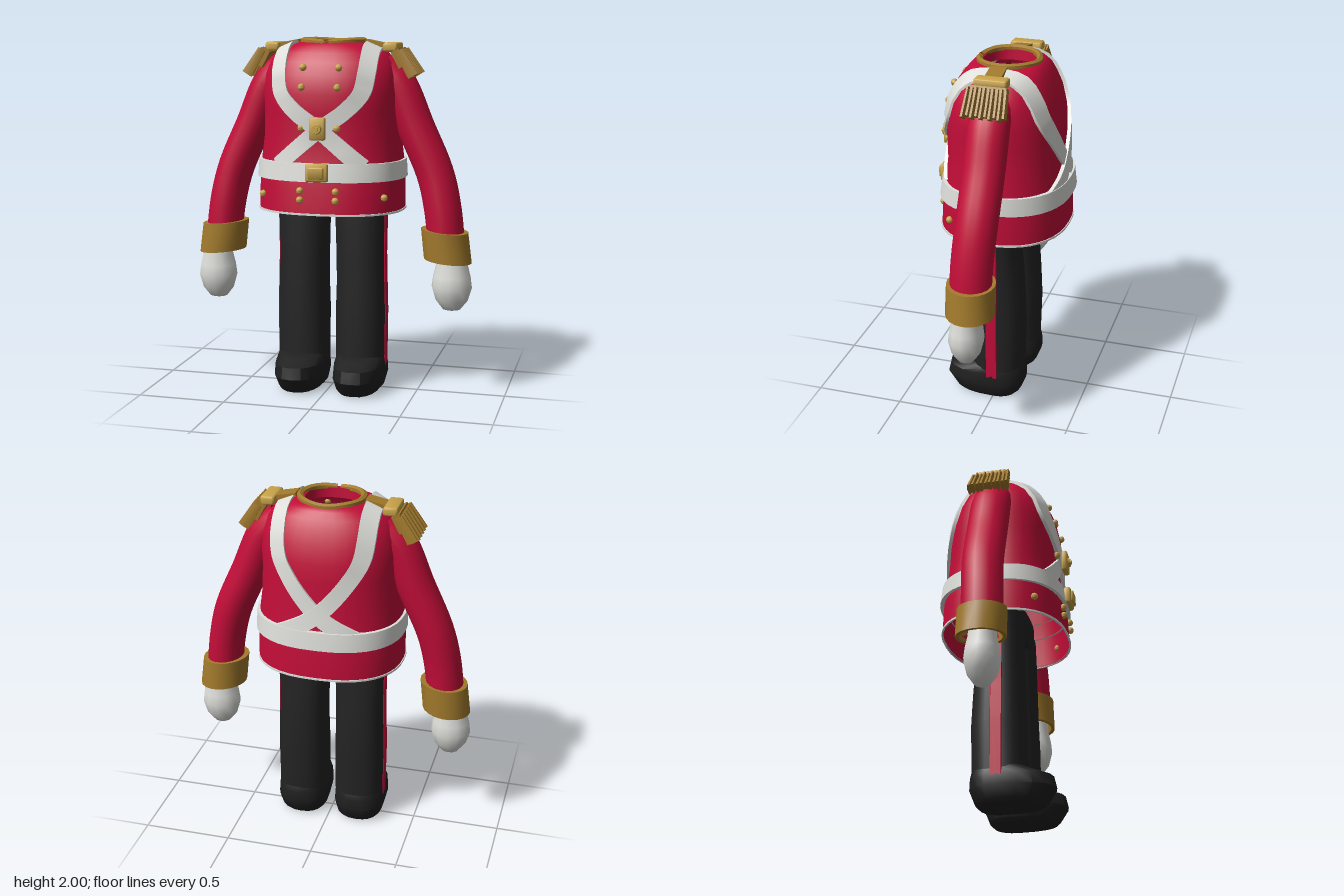
import * as THREE from 'three';
import { mergeVertices, toCreasedNormals } from 'three/addons/utils/BufferGeometryUtils.js';
import { RoundedBoxGeometry } from 'three/addons/geometries/RoundedBoxGeometry.js';

const mat = (name, color, side = THREE.FrontSide) =>
  new THREE.MeshStandardMaterial({ name, color, side });

// Grid of vertices: each row is a closed loop of [x, y, z], rows are joined in order
function skin(rows) {
  const n = rows[0].length, idx = [];
  for (let i = 0; i < rows.length - 1; i++) {
    for (let j = 0; j < n; j++) {
      const a = i * n + j, b = i * n + (j + 1) % n;
      idx.push(a, a + n, b, b, a + n, b + n);
    }
  }
  const g = new THREE.BufferGeometry();
  g.setAttribute('position', new THREE.Float32BufferAttribute(rows.flat(2), 3));
  g.setIndex(idx);
  return g;
}

// Loft of rounded sections, each [y, centre x, half width, back depth, front depth]
function loft(sections, seg = 24, n = 2.4) {
  const pw = v => Math.sign(v) * Math.abs(v) ** (2 / n);
  return skin(sections.map(([y, cx, rx, zb, zf]) =>
    Array.from({ length: seg }, (_, j) => {
      const t = j / seg * Math.PI * 2, c = pw(Math.cos(t)), s = pw(Math.sin(t));
      return [cx + rx * c, y, s * (s > 0 ? zf : zb)];
    })));
}

// Jacket body sections: [y, half width, back depth, front depth]
const BODY = [
  [1.05, .41, .365, .345], [1.2, .408, .36, .335], [1.33, .4, .345, .315], [1.45, .385, .332, .302],
  [1.6, .38, .325, .308], [1.7, .385, .315, .305], [1.8, .375, .29, .285], [1.87, .35, .26, .25],
  [1.92, .31, .235, .215], [1.955, .25, .21, .185], [1.975, .18, .185, .155],
];
const EXP = 2.4;

function insideBody(x, y, z) {
  const i = BODY.findIndex(r => r[0] >= y);
  if (i < 0) return false;
  const b = BODY[i], a = BODY[Math.max(i - 1, 0)];
  const t = b === a ? 0 : (y - a[0]) / (b[0] - a[0]);
  const [rx, zb, zf] = [1, 2, 3].map(k => a[k] + (b[k] - a[k]) * t);
  return (Math.abs(x) / rx) ** EXP + (Math.abs(z) / (z > 0 ? zf : zb)) ** EXP < 1;
}

// Point on the jacket, seen from (x, y, 0) at angle a: 0 is front, PI/2 up, PI back
function onBody(x, y, a, off) {
  const dy = Math.sin(a), dz = Math.cos(a);
  let lo = 0, hi = .6;
  for (let k = 0; k < 24; k++) {
    const m = (lo + hi) / 2;
    if (insideBody(x, y + dy * m, dz * m)) lo = m; else hi = m;
  }
  return [x, y + dy * (lo + off), dz * (lo + off)];
}

// u runs up the front, over the shoulder and down the back
const Y0 = 1.65, ARC = .94;
function wrap(x, u, off) {
  if (u < Y0) return onBody(x, u, 0, off);
  if (u > Y0 + ARC) return onBody(x, Y0 - (u - Y0 - ARC), Math.PI, off);
  return onBody(x, Y0, (u - Y0) / ARC * Math.PI, off);
}

function strap(s, lift) {
  const pts = [[-.24, 1.31], [0, 1.51], [.14, 1.61], [.22, 1.7], [.245, 1.82], [.245, 2.12],
    [.23, 2.5], [.17, 2.62], [0, 2.82], [-.23, 2.96]];
  const curve = new THREE.CatmullRomCurve3(pts.map(([x, u]) => new THREE.Vector3(x * s, u, 0)));
  const rows = [];
  for (let i = 0; i <= 70; i++) {
    const p = curve.getPoint(i / 70), d = curve.getTangent(i / 70), w = .044;
    const l = [p.x - d.y * w, p.y + d.x * w], r = [p.x + d.y * w, p.y - d.x * w];
    rows.push([wrap(...r, -.02), wrap(...l, -.02), wrap(...l, lift), wrap(...r, lift)]);
  }
  return skin(rows);
}

// Mirror image across x, with the corner order turned round
function mirrored(geo) {
  const g = mergeVertices(geo).scale(-1, 1, 1), ix = g.index.array;
  for (let i = 0; i < ix.length; i += 3) [ix[i], ix[i + 1]] = [ix[i + 1], ix[i]];
  return g;
}

export function createModel() {
  const red = mat('red cloth', 0xc20d38, THREE.DoubleSide);
  const white = mat('white leather', 0xdededa, THREE.DoubleSide);
  const black = mat('black cloth', 0x232323);
  const shoeBlack = mat('shoe black', 0x1f1f1f);
  const gold = mat('light gold', 0xc9a44a);
  const darkGold = mat('dark gold', 0xa27a2c, THREE.DoubleSide);

  const model = new THREE.Group();
  model.name = 'uniform';
  const add = (name, geo, material, crease = .7) => {
    const g = geo.clone();
    g.deleteAttribute('uv');
    const mesh = new THREE.Mesh(toCreasedNormals(g, crease), material);
    mesh.name = name;
    model.add(mesh);
  };
  const both = (name, geo, material, crease) => {
    add(name + 'Left', geo, material, crease);
    add(name + 'Right', mirrored(geo), material, crease);
  };

  // Jacket with an open neck and hem
  const body = BODY.map(([y, ...r]) => [y, 0, ...r]);
  add('jacket', loft([...body, [1.975, 0, .145, .165, .125], [1.92, 0, .142, .16, .122]], 40, EXP), red, 1.2);
  add('hemTrim', loft([[1.045, 0, .405, .36, .34], [1.045, 0, .415, .37, .35],
    [1.056, 0, .415, .37, .35], [1.056, 0, .405, .36, .34]], 40), white);
  add('belt', loft([[1.23, 0, .395, .35, .32], [1.23, 0, .42, .382, .352],
    [1.33, 0, .414, .37, .337], [1.33, 0, .39, .34, .31]], 40), white);

  // Crossed straps
  add('strapLeft', strap(1, .014), white);
  add('strapRight', strap(-1, .02), white);

  // Collar braid with a gap at the front
  const ring = Array.from({ length: 25 }, (_, i) => {
    const a = .07 + i / 24 * (Math.PI * 2 - .14);
    return new THREE.Vector3(Math.sin(a) * .172, 1.981 - .008 * Math.cos(a) ** 8, -.016 + Math.cos(a) * .162);
  });
  add('collarBraid', new THREE.TubeGeometry(new THREE.CatmullRomCurve3(ring), 48, .019, 6), darkGold);

  // Buttons
  for (const [x, y] of [[.1, 1.845], [.1, 1.74], [.1, 1.52], [.1, 1.18], [.1, 1.13], [.345, 1.14]]) {
    const p = onBody(x, y, 0, .008);
    both('button', new THREE.SphereGeometry(.02, 10, 8).translate(...p), gold, 1.2);
  }

  // Belt buckle and strap plate
  add('buckle', new RoundedBoxGeometry(.125, .1, .04, 2, .012).translate(0, 1.283, .355), gold);
  add('bucklePlate', new RoundedBoxGeometry(.09, .065, .02, 2, .008).translate(0, 1.283, .379), gold);
  add('crossPlate', new RoundedBoxGeometry(.09, .125, .035, 2, .012).translate(0, 1.52, .34), gold);
  for (const [r, z] of [[.03, .361], [.015, .369]]) {
    add('crossPlateBoss', new THREE.CylinderGeometry(r * .8, r, .018, 14).rotateX(Math.PI / 2).translate(0, 1.52, z), gold);
  }

  // Sleeves
  const arm = new THREE.CatmullRomCurve3([[.27, 1.83, -.015], [.36, 1.755, -.015], [.475, 1.5, -.015],
    [.585, 1.25, -.01], [.633, 1.05, 0], [.66, .8, .005]].map(p => new THREE.Vector3(...p)));
  both('sleeve', new THREE.TubeGeometry(arm, 24, .104, 18).scale(1, 1, 1.1), red, 1.2);

  // Cuffs, leaning slightly outwards
  const cuffProfile = [[.1, .085], [.114, -.085], [.135, -.085], [.133, .085], [.1, .085]];
  const cuff = new THREE.LatheGeometry(cuffProfile.map(p => new THREE.Vector2(...p)), 20);
  cuff.applyMatrix4(new THREE.Matrix4().set(1, -.12, 0, .655, -.09, 1, 0, .852, 0, 0, 1, .003, 0, 0, 0, 1));
  both('cuff', cuff, darkGold);

  // Gloved hands
  const hand = [[0, .48], [.05, .492], [.092, .545], [.114, .62], [.106, .68], [.09, .745], [.084, .85]];
  both('glove', new THREE.LatheGeometry(hand.map(p => new THREE.Vector2(...p)), 12)
    .scale(1, 1, .86).translate(.692, 0, .018), white, 1);

  // Epaulettes: tab, pad and fringe
  both('epauletteTab', new THREE.BoxGeometry(.11, .025, .09).rotateZ(-.2).translate(.245, 1.968, -.015), darkGold);
  both('epaulettePad', new RoundedBoxGeometry(.08, .05, .18, 2, .014).translate(.337, 1.95, -.02), gold);
  both('epauletteBase', new THREE.BoxGeometry(.05, .1, .2).rotateZ(.5).translate(.39, 1.89, -.015), darkGold);
  for (let i = 0; i < 10; i++) {
    const k = i - 4.5;
    const tassel = new THREE.CylinderGeometry(.009, .0125, .15 + .012 * (i % 2), 6).scale(2.8, 1, 1);
    tassel.rotateX(-k * .012).rotateZ(.55).translate(.425 + .008 * (i % 2), 1.865, -.015 + k * .0235);
    both('fringe', tassel, darkGold);
  }

  // Trousers
  add('hips', loft([[1.02, 0, .001, .001, .001], [1.02, 0, .27, .1, .1], [1.06, 0, .305, .13, .125],
    [1.17, 0, .31, .14, .13], [1.18, 0, .001, .001, .001]]), black);
  const legs = [[.13, .17, .143, .155, .145], [.45, .17, .146, .163, .14], [.62, .17, .141, .155, .133],
    [.78, .167, .14, .145, .13], [.98, .165, .145, .125, .125], [1.12, .165, .14, .12, .12]];
  both('leg', loft(legs, 20), black);
  both('legStripe', loft(legs.map(([y, cx, rx]) => [y + .01, cx + rx, .004, .032, .032]), 8, 8), red);

  // Shoes
  both('shoe', loft([[0, .17, .001, .001, .001], [0, .17, .115, .12, .235], [.02, .17, .132, .14, .255],
    [.09, .172, .149, .168, .3], [.155, .172, .145, .165, .285], [.185, .172, .14, .158, .2],
    [.205, .172, .132, .15, .15], [.21, .172, .001, .001, .001]], 20), shoeBlack, .5);

  return model;
}
